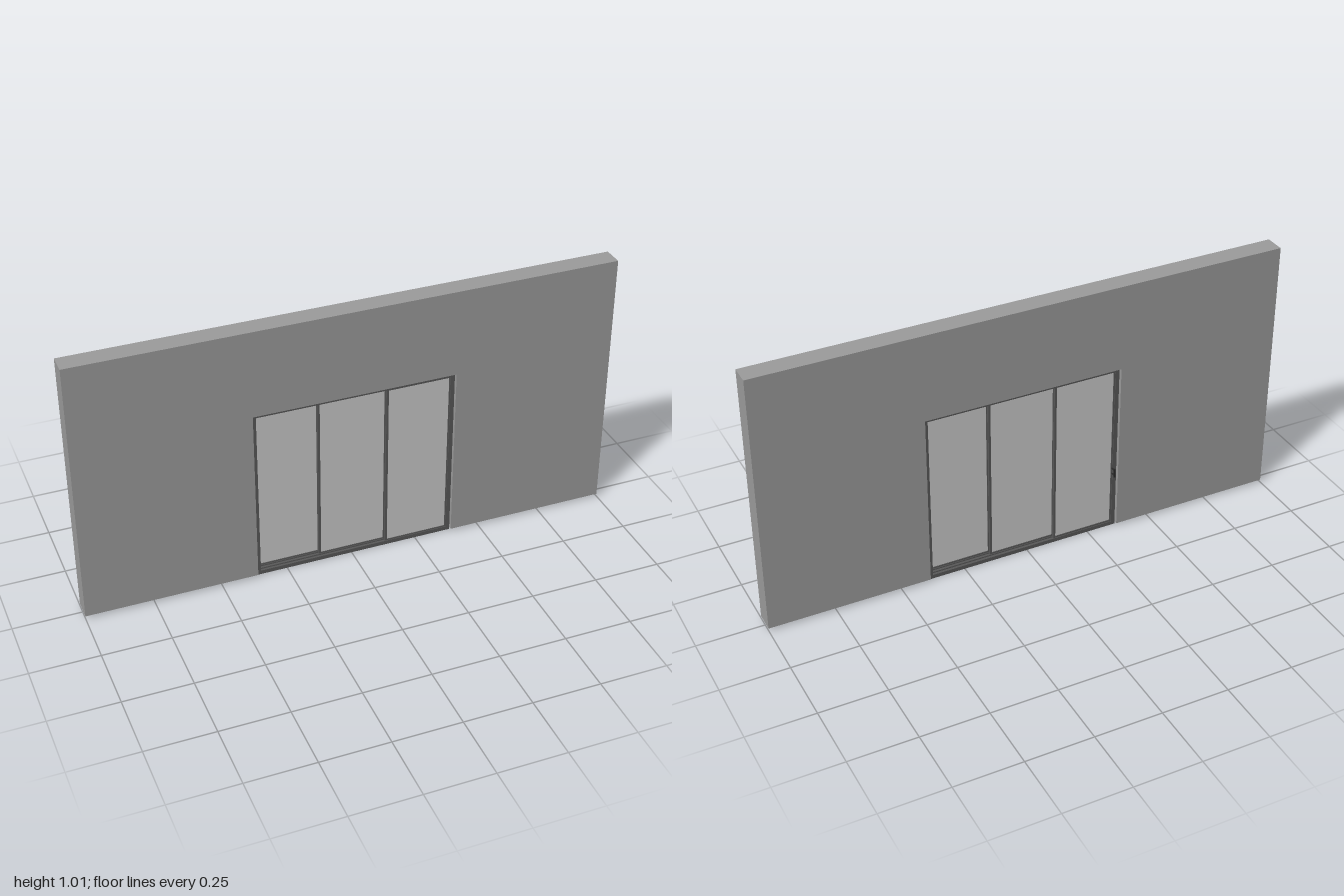
import * as THREE from 'three';

const wallMat = new THREE.MeshStandardMaterial({ color: 0x9c9c9c });
const frameMat = new THREE.MeshStandardMaterial({ color: 0x595959 });
const glassMat = new THREE.MeshStandardMaterial({ color: 0xcccccc });
const handleMat = new THREE.MeshStandardMaterial({ color: 0x2a2a2a });

// Door opening
const X0 = -0.365, X1 = 0.39, TOP = 0.68;

// Box given by its limits on each axis
function box(parent, name, mat, x0, x1, y0, y1, z0, z1) {
  const mesh = new THREE.Mesh(new THREE.BoxGeometry(x1 - x0, y1 - y0, z1 - z0), mat);
  mesh.position.set((x0 + x1) / 2, (y0 + y1) / 2, (z0 + z1) / 2);
  mesh.name = name;
  parent.add(mesh);
  return mesh;
}

// Rectangular ring: jambs, head and sill between two depths
function ring(parent, name, mat, x0, x1, y0, y1, w, z0, z1) {
  const group = new THREE.Group();
  group.name = name;
  box(group, 'rightUpright', mat, x0, x0 + w, y0, y1, z0, z1);
  box(group, 'leftUpright', mat, x1 - w, x1, y0, y1, z0, z1);
  box(group, 'topRail', mat, x0 + w, x1 - w, y1 - w, y1, z0, z1);
  box(group, 'bottomRail', mat, x0 + w, x1 - w, y0, y0 + w, z0, z1);
  parent.add(group);
  return group;
}

function makeWall() {
  const outline = [[-1, 0.01], [X0, 0.01], [X0, TOP], [X1, TOP], [X1, 0.01], [1, 0.01], [1, 1.01], [-1, 1.01]];
  const shape = new THREE.Shape(outline.map(([x, y]) => new THREE.Vector2(x, y)));
  const geo = new THREE.ExtrudeGeometry(shape, { depth: 0.076, bevelEnabled: false });
  geo.translate(0, 0, -0.036);
  const wall = new THREE.Mesh(geo, wallMat);
  wall.name = 'wall';
  return wall;
}

// Pull handle on the back of a panel: a grip on two short posts
function makeHandle(x, zFace) {
  const handle = new THREE.Group();
  handle.name = 'handle';
  const depth = 0.022;
  box(handle, 'grip', handleMat, x - 0.003, x + 0.003, 0.224, 0.259, zFace - depth, zFace - depth + 0.005);
  for (const y of [0.228, 0.25])
    box(handle, 'post', handleMat, x - 0.002, x + 0.002, y, y + 0.005, zFace - depth + 0.005, zFace);
  return handle;
}

export function createModel() {
  const model = new THREE.Group();
  model.name = 'slidingDoorWall';
  model.add(makeWall());

  // Outer frame with ribs separating the three tracks
  const outer = ring(model, 'outerFrame', frameMat, X0, X1, 0, TOP, 0.01, -0.022, 0.026);
  for (const z of [-0.022, -0.0065, 0.0085, 0.0235])
    ring(outer, 'trackRib', frameMat, X0 + 0.01, X1 - 0.01, 0.01, TOP - 0.01, 0.005, z, z + 0.0025);

  // Panels stepping forward from right to left, one per track
  const panels = [
    { x0: -0.354, x1: -0.111, z: -0.012 },
    { x0: -0.12, x1: 0.139, z: 0.003 },
    { x0: 0.132, x1: 0.379, z: 0.018 },
  ];
  panels.forEach(({ x0, x1, z }, i) => {
    const panel = new THREE.Group();
    panel.name = 'slidingPanel' + (i + 1);
    ring(panel, 'panelFrame', frameMat, x0, x1, 0.011, 0.669, 0.008, z - 0.005, z + 0.005);
    box(panel, 'glass', glassMat, x0 + 0.007, x1 - 0.007, 0.018, 0.662, z - 0.002, z + 0.002);
    model.add(panel);
  });

  // Handles on the closing stiles of the two end panels
  model.add(makeHandle(-0.35, -0.017));
  model.add(makeHandle(0.374, 0.013));
  return model;
}
